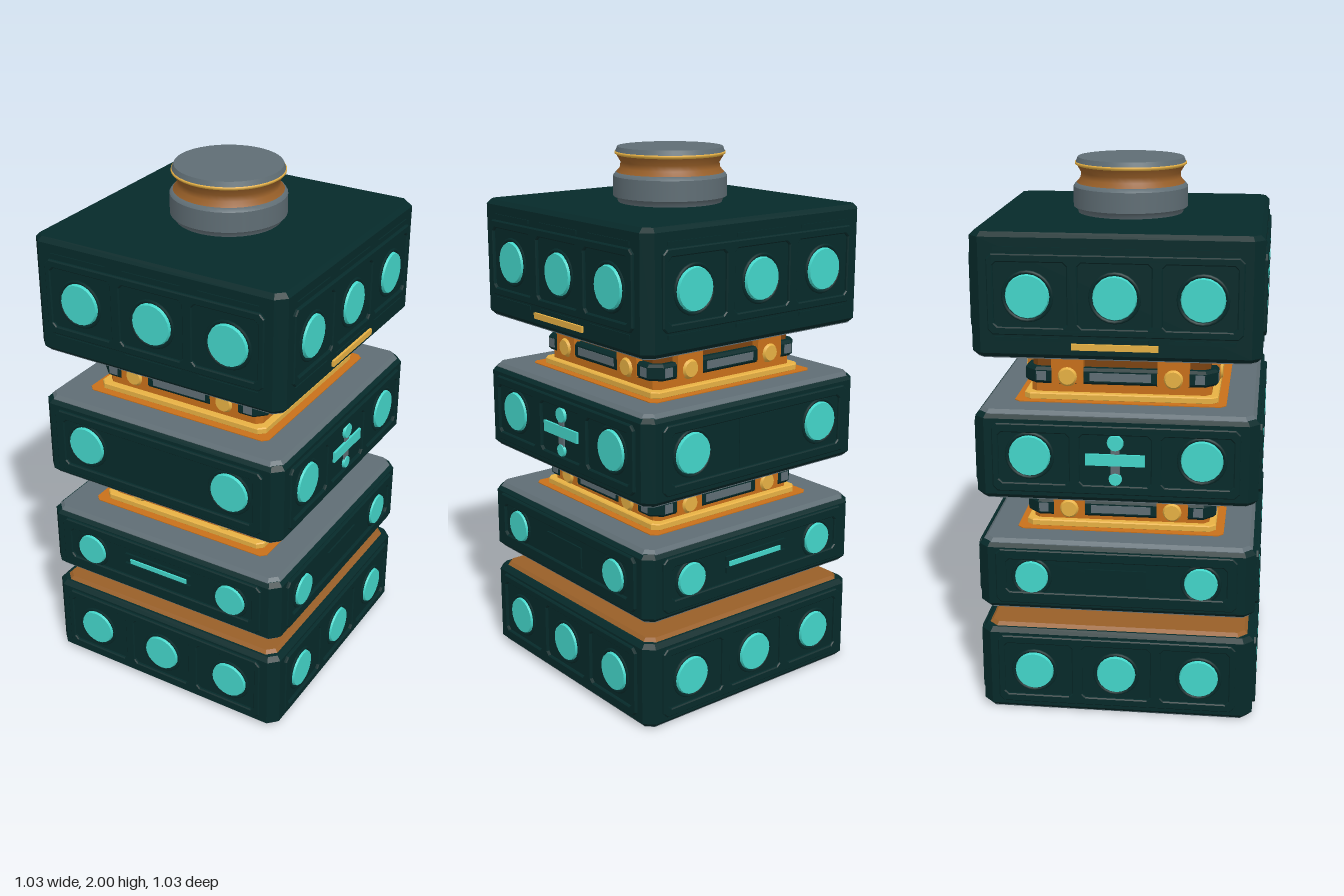
import * as THREE from 'three';

const mat = (name, color) => {
  const m = new THREE.MeshStandardMaterial({ color });
  m.name = name;
  return m;
};

export function createModel() {
  const model = new THREE.Group();
  model.name = 'stackedTower';
  const teal = mat('dark teal', 0x062a2a);
  const cyan = mat('cyan', 0x43d6ca);
  const grey = mat('steel grey', 0x5f6d74);
  const orange = mat('orange', 0xc8701a);
  const gold = mat('gold', 0xf4bb48);
  const brown = mat('brown', 0x985f28);
  const rust = mat('dark rust', 0x7c430f);

  const add = (parent, name, geo, material, x = 0, y = 0, z = 0) => {
    const m = new THREE.Mesh(geo, material);
    m.name = name;
    m.position.set(x, y, z);
    parent.add(m);
    return m;
  };

  // Square slab with cut corners and bevelled top and bottom edges
  const slab = (parent, name, half, y0, y1, cut, bevel, material) => {
    const h = half - bevel, c = h - cut;
    const s = new THREE.Shape([[h, -c], [h, c], [c, h], [-c, h], [-h, c], [-h, -c], [-c, -h], [c, -h]]
      .map(p => new THREE.Vector2(...p)));
    const g = new THREE.ExtrudeGeometry(s, {
      depth: y1 - y0 - 2 * bevel, bevelEnabled: bevel > 0,
      bevelThickness: bevel, bevelSize: bevel, bevelSegments: 1
    });
    g.rotateX(-Math.PI / 2).translate(0, y0 + bevel, 0);
    return add(parent, name, g, material);
  };

  // Rectangle outline with clipped corners
  const rect = (x0, x1, y0, y1, c = 0.015) => [
    [x0 + c, y0], [x1 - c, y0], [x1, y0 + c], [x1, y1 - c],
    [x1 - c, y1], [x0 + c, y1], [x0, y1 - c], [x0, y0 + c]
  ].map(p => new THREE.Vector2(...p));

  // Raised face frame, cut through where the cells sit
  const frame = (parent, y0, y1, cells) => {
    const s = new THREE.Shape(rect(-0.435, 0.435, y0, y1));
    cells.forEach(c => s.holes.push(new THREE.Path(rect(...c))));
    const g = new THREE.ExtrudeGeometry(s, {
      depth: 0.01, bevelEnabled: true, bevelThickness: 0.004, bevelSize: 0.004, bevelSegments: 1
    });
    add(parent, 'faceFrame', g, teal, 0, 0, 0.5);
  };

  const disc = (parent, name, x, y, z, r, depth, material, taper = 0.8) =>
    add(parent, name, new THREE.CylinderGeometry(r * taper, r, depth, 20).rotateX(Math.PI / 2), material, x, y, z);

  // Glowing lens in a dark rim
  const lens = (parent, x, y, r) => {
    add(parent, 'lensRim', new THREE.TorusGeometry(r + 0.006, 0.007, 6, 24), teal, x, y, 0.502);
    disc(parent, 'lens', x, y, 0.507, r, 0.014, cyan, 0.94);
  };
  const box = (parent, name, w, h, d, material, x, y, z) =>
    add(parent, name, new THREE.BoxGeometry(w, h, d), material, x, y, z);

  // Run a builder on each of the four sides; odd sides face left and right
  const fourSides = (parent, build) => {
    for (let i = 0; i < 4; i++) {
      const side = new THREE.Group();
      side.name = ['frontSide', 'leftSide', 'backSide', 'rightSide'][i];
      side.rotation.y = i * Math.PI / 2;
      build(side, i % 2 === 1);
      parent.add(side);
    }
  };
  const thirds = (y0, y1) => [-0.29, 0, 0.29].map(x => [x - 0.13, x + 0.13, y0, y1]);

  // Block body with a steel underside and a chosen top
  const block = (name, y0, y1, topMat, topHalf) => {
    const g = new THREE.Group();
    g.name = name;
    slab(g, 'blockBody', 0.503, y0 + 0.004, y1 - (topMat === teal ? 0 : 0.012), 0.026, 0.016, teal);
    slab(g, 'underside', 0.485, y0, y0 + 0.009, 0.026, 0, grey);
    if (topMat !== teal) slab(g, 'topPlate', topHalf, y1 - 0.028, y1, 0.025, 0.013, topMat);
    model.add(g);
    return g;
  };

  // Bottom block
  fourSides(block('bottomBlock', 0, 0.34, brown, 0.48), side => {
    frame(side, 0.04, 0.3, thirds(0.062, 0.278));
    [-0.305, 0, 0.305].forEach(x => lens(side, x, 0.165, 0.073));
  });

  // Low block with a hooded light slot front and back
  fourSides(block('slotBlock', 0.41, 0.68, grey, 0.49), (side, lateral) => {
    frame(side, 0.445, 0.645, [[-0.405, 0.405, 0.48, 0.615]]);
    [-0.308, 0.308].forEach(x => lens(side, x, 0.543, 0.062));
    if (lateral) box(side, 'blankPanel', 0.22, 0.08, 0.012, teal, 0, 0.543, 0.503);
    else {
      box(side, 'slotHood', 0.29, 0.016, 0.012, teal, -0.005, 0.578, 0.506);
      box(side, 'slotSill', 0.29, 0.022, 0.014, teal, -0.005, 0.533, 0.507);
      box(side, 'slotLight', 0.25, 0.018, 0.008, cyan, -0.005, 0.553, 0.505);
    }
  });

  // Middle block with crosses on the lateral faces
  fourSides(block('middleBlock', 0.84, 1.17, grey, 0.49), (side, lateral) => {
    frame(side, 0.88, 1.125, lateral ? thirds(0.905, 1.1) : [[-0.405, 0.405, 0.905, 1.1]]);
    [-0.305, 0.305].forEach(x => lens(side, x, 1.01, 0.076));
    if (lateral) {
      box(side, 'crossShaft', 0.032, 0.13, 0.008, grey, 0, 0.99, 0.505);
      box(side, 'crossBar', 0.21, 0.042, 0.009, cyan, 0, 1.005, 0.509);
      disc(side, 'crossTip', 0, 1.067, 0.508, 0.03, 0.01, cyan, 0.9);
      disc(side, 'crossFoot', 0, 0.933, 0.508, 0.024, 0.01, cyan, 0.9);
    } else box(side, 'centrePanel', 0.18, 0.18, 0.008, teal, 0, 1.003, 0.502);
  });

  // Top block with vent ridges and a gold strip on the lateral faces
  fourSides(block('topBlock', 1.36, 1.8, teal), (side, lateral) => {
    frame(side, 1.452, 1.725, thirds(1.472, 1.705));
    [-0.3, 0, 0.3].forEach(x => {
      lens(side, x, 1.583, 0.078);
      [1.745, 1.432].forEach(y => box(side, 'ventRidge', 0.23, 0.014, 0.008, teal, x, y, 0.503));
    });
    if (lateral) box(side, 'goldStrip', 0.3, 0.022, 0.009, gold, 0, 1.411, 0.51);
  });

  // Bottom neck
  slab(model, 'bottomNeck', 0.325, 0.33, 0.42, 0.02, 0, orange);
  slab(model, 'bottomNeckRidge', 0.338, 0.36, 0.395, 0.02, 0.008, orange);

  // Two mechanical necks
  [[0.68, 0.84, 0.755], [1.17, 1.36, 1.26]].forEach(([y0, y1, mid]) => {
    const neck = new THREE.Group();
    neck.name = 'neck';
    slab(neck, 'neckApron', 0.38, y0 - 0.01, y0 + 0.003, 0.02, 0, orange);
    slab(neck, 'neckTrim', 0.35, y0, y0 + 0.026, 0.02, 0.004, gold);
    slab(neck, 'neckCore', 0.325, y0, mid, 0.02, 0, orange);
    slab(neck, 'neckUpper', 0.32, mid, y1 + 0.01, 0.02, 0, rust);
    slab(neck, 'neckCollar', 0.338, y1 - 0.022, y1 + 0.01, 0.02, 0.006, rust);
    slab(neck, 'neckBand', 0.348, mid - 0.03, mid + 0.03, 0.035, 0.01, teal);
    fourSides(neck, side => {
      box(side, 'bandStrip', 0.22, 0.03, 0.008, grey, 0, mid, 0.346);
      for (const s of [-1, 1]) {
        box(side, 'boltBracket', 0.115, y1 - mid + 0.012, 0.03, orange, s * 0.19, (mid + y1) / 2 - 0.02, 0.336);
        box(side, 'bandEnd', 0.035, 0.034, 0.008, grey, s * 0.285, mid, 0.346);
        disc(side, 'bolt', s * 0.19, mid, 0.353, 0.038, 0.014, gold, 0.75);
      }
    });
    model.add(neck);
  });

  // Round knob on top
  const lathe = (name, pts, material) =>
    add(model, name, new THREE.LatheGeometry(pts.map(p => new THREE.Vector2(...p)), 40), material);
  lathe('knobBase', [[0.19, 1.79], [0.195, 1.812], [0.21, 1.822], [0.21, 1.822], [0.21, 1.895], [0.21, 1.895], [0.2, 1.908], [0.17, 1.91]], grey);
  lathe('knobNeck', [[0.2, 1.906], [0.184, 1.925], [0.182, 1.945], [0.199, 1.973]], brown);
  lathe('knobRim', [[0.197, 1.97], [0.204, 1.975], [0.204, 1.982], [0.196, 1.984]], gold);
  add(model, 'knobCap', new THREE.CylinderGeometry(0.194, 0.202, 0.02, 40), grey, 0, 1.99, 0);

  return model;
}
